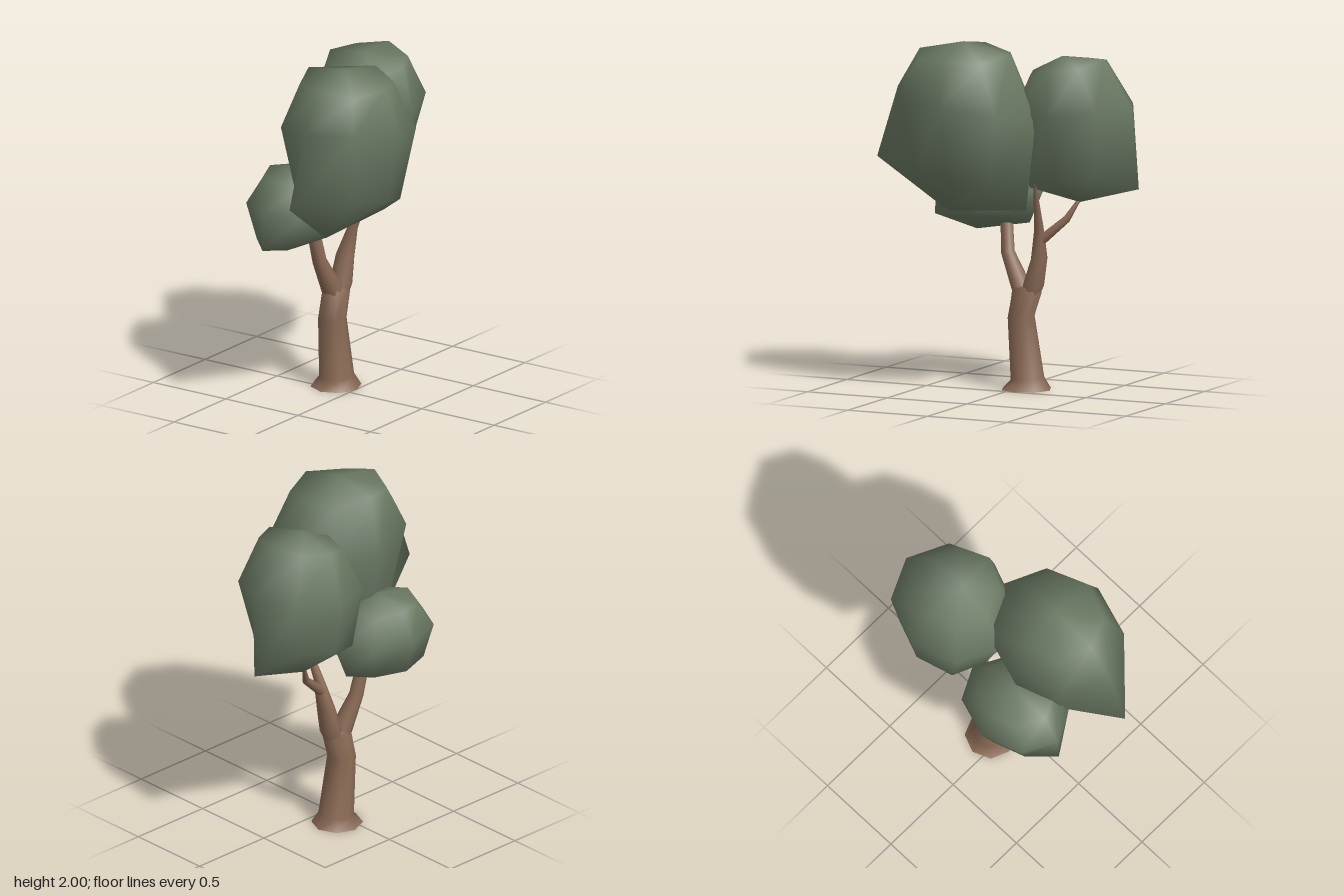
import * as THREE from 'three';

const SIDES = 8;
const bark = new THREE.MeshStandardMaterial({ color: 0x8a6a55, side: THREE.DoubleSide });
const leaf = new THREE.MeshStandardMaterial({ color: 0x6a7963 });

// Skin over eight-sided rings listed from bottom to top, closed by end points (bottom optional)
function loft(rings, top, bottom) {
  const points = [...rings.flat(), top];
  const high = points.length - 1, low = points.length;
  if (bottom) points.push(bottom);
  const index = [];
  for (let j = 0; j < SIDES; j++) {
    const k = (j + 1) % SIDES;
    for (let i = 0; i < rings.length - 1; i++) {
      const a = i * SIDES + j, b = i * SIDES + k;
      index.push(a, a + SIDES, b, b, a + SIDES, b + SIDES);
    }
    const last = (rings.length - 1) * SIDES;
    index.push(high, last + k, last + j);
    if (bottom) index.push(low, j, k);
  }
  const geometry = new THREE.BufferGeometry().setFromPoints(points);
  geometry.setIndex(index);
  geometry.computeVertexNormals();
  return geometry;
}

function addMesh(group, name, geometry, material) {
  const mesh = new THREE.Mesh(geometry, material);
  mesh.name = name;
  group.add(mesh);
}

// Tapered limb, open at its foot, through stations [x, y, z, radius, depth radius];
// a level foot stands flat on the ground
function limb(stations, levelFoot = false) {
  const centres = stations.map(([x, y, z]) => new THREE.Vector3(x, y, z));
  const up = new THREE.Vector3(0, 1, 0);
  const rings = stations.map(([, , , r, depth = r], i) => {
    const before = centres[Math.max(i - 1, 0)];
    const after = centres[Math.min(i + 1, centres.length - 1)];
    const dir = levelFoot && i === 0 ? up : after.clone().sub(before).normalize();
    const turn = new THREE.Quaternion().setFromUnitVectors(up, dir);
    return Array.from({ length: SIDES }, (_, j) => {
      const a = (j / SIDES) * Math.PI * 2;
      return new THREE.Vector3(r * Math.cos(a), 0, depth * Math.sin(a))
        .applyQuaternion(turn).add(centres[i]);
    });
  });
  return loft(rings, centres[centres.length - 1]);
}

// Leaf clump: rings are { c: centre, r: [rx, rz], tilt: [rise to +x, rise to +z],
// dip: drop of the diagonal corners }; left and right replace corners of the lowest ring
function clump({ bottom, top, rings, left, right }) {
  const loops = rings.map(({ c, r, tilt = [0, 0], dip = 0 }) =>
    Array.from({ length: SIDES }, (_, j) => {
      const a = (j / SIDES) * Math.PI * 2, u = Math.cos(a), v = Math.sin(a);
      const y = c[1] + tilt[0] * u + tilt[1] * v - dip * (j % 2);
      return new THREE.Vector3(c[0] + r[0] * u, y, c[2] + r[1] * v);
    }));
  loops[0][0].set(...left);
  loops[0][SIDES / 2].set(...right);
  return loft(loops, new THREE.Vector3(...top), new THREE.Vector3(...bottom));
}

export function createModel() {
  const tree = new THREE.Group();
  tree.name = 'tree';

  // Trunk with flared foot, widening into the fork
  addMesh(tree, 'trunk', limb([
    [0.06, 0, -0.137, 0.146], [0.067, 0.06, -0.137, 0.1], [0.027, 0.41, -0.138, 0.079, 0.083],
    [0.066, 0.575, -0.137, 0.092, 0.07], [0.066, 0.6, -0.137, 0.04, 0.03],
  ], true), bark);
  addMesh(tree, 'leftBranch', limb([
    [0.085, 0.53, -0.135, 0.05], [0.107, 0.6, -0.135, 0.06, 0.068], [0.143, 0.75, -0.132, 0.044, 0.06],
    [0.162, 0.93, -0.09, 0.028], [0.19, 1.2, 0.02, 0.009],
  ]), bark);
  addMesh(tree, 'rightBranch', limb([
    [0.04, 0.52, -0.135, 0.05], [0.027, 0.58, -0.14, 0.057, 0.064],
    [-0.067, 0.77, -0.16, 0.041], [-0.092, 0.98, -0.192, 0.036],
  ]), bark);
  addMesh(tree, 'sideTwig', limb([
    [0.155, 0.85, -0.115, 0.03], [0.31, 0.985, -0.145, 0.022], [0.38, 1.12, -0.2, 0.008],
  ]), bark);

  // Large clump at the front
  addMesh(tree, 'frontFoliage', clump({
    bottom: [-0.33, 1.02, 0.07], top: [-0.21, 2, 0.12],
    rings: [
      { c: [-0.175, 1.18, 0.13], r: [0.32, 0.26], tilt: [-0.06, 0.085] },
      { c: [-0.185, 1.65, 0.125], r: [0.432, 0.353], tilt: [-0.07, 0.02] },
      { c: [-0.2, 1.945, 0.125], r: [0.28, 0.265], tilt: [0, -0.015], dip: 0.03 },
    ],
    left: [0.18, 1.06, 0.11], right: [-0.75, 1.31, 0.12],
  }), leaf);

  // Clump above the side twig
  addMesh(tree, 'leftFoliage', clump({
    bottom: [0.37, 1.08, -0.19], top: [0.3, 1.92, -0.11],
    rings: [
      { c: [0.355, 1.245, -0.175], r: [0.29, 0.255], tilt: [0.06, -0.035] },
      { c: [0.35, 1.61, -0.143], r: [0.37, 0.332], tilt: [0.035, 0] },
      { c: [0.33, 1.87, -0.12], r: [0.22, 0.25], tilt: [0.045, -0.005], dip: 0.02 },
    ],
    left: [0.745, 1.18, -0.18], right: [0.09, 1.145, -0.15],
  }), leaf);

  // Small low clump at the back
  addMesh(tree, 'backFoliage', clump({
    bottom: [-0.29, 0.88, -0.22], top: [-0.21, 1.37, -0.2],
    rings: [
      { c: [-0.22, 0.97, -0.2], r: [0.27, 0.21], tilt: [0, 0.015] },
      { c: [-0.205, 1.145, -0.21], r: [0.335, 0.268], tilt: [-0.02, -0.015] },
      { c: [-0.21, 1.33, -0.2], r: [0.22, 0.2], dip: 0.02 },
    ],
    left: [0.05, 0.94, -0.2], right: [-0.55, 0.95, -0.21],
  }), leaf);

  return tree;
}
